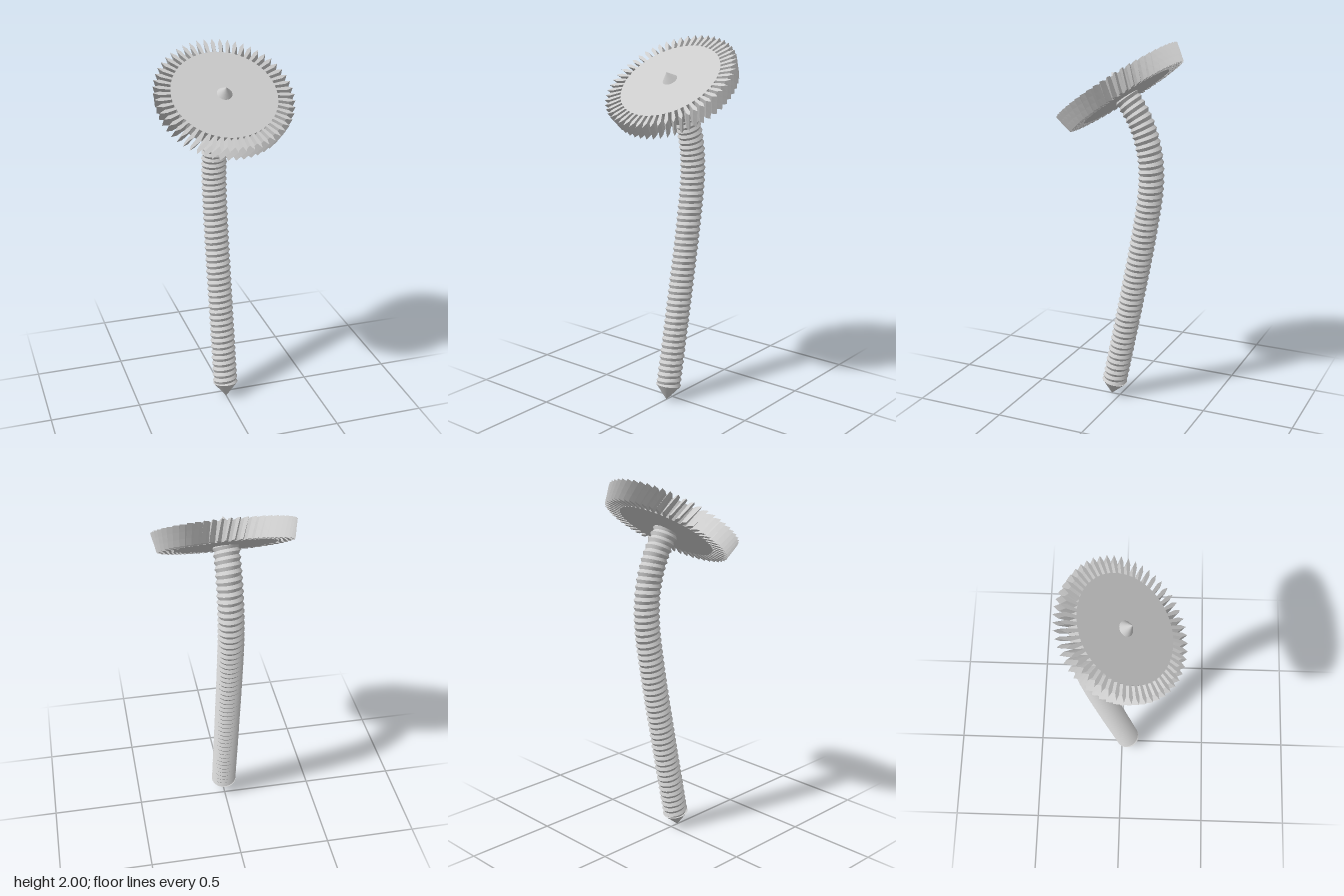
import * as THREE from 'three';
import { toCreasedNormals } from 'three/addons/utils/BufferGeometryUtils.js';

const material = new THREE.MeshStandardMaterial({ color: 0xcccccc });
const flatMaterial = new THREE.MeshStandardMaterial({ color: 0xcccccc, flatShading: true });

const TILT = THREE.MathUtils.degToRad(35);
const CREST = 0.07, ROOT = 0.06, PITCH = 0.034, SIDES = 32;

// Centre line of the bent screw, lying in the x = 0 plane
const path = new THREE.CatmullRomCurve3([
  [0.085, 0.034], [0.35, -0.02], [0.6, -0.07], [1.0, -0.145], [1.25, -0.178],
  [1.42, -0.168], [1.58, -0.117], [1.708, -0.0375], [1.759, -0.002],
].map(([y, z]) => new THREE.Vector3(0, y, z)));
path.arcLengthDivisions = 600;

// Thread: rows alternate crest and root, each rising one pitch per turn
function threadGeometry() {
  const length = path.getLength();
  const rows = 2 * Math.ceil(length / PITCH) + 2;
  const positions = [], index = [];
  const xAxis = new THREE.Vector3(1, 0, 0);
  for (let i = 0; i <= rows; i++) {
    const radius = i % 2 ? ROOT : CREST;
    for (let j = 0; j <= SIDES; j++) {
      const s = THREE.MathUtils.clamp(PITCH * (i / 2 - 1 + j / SIDES) / length, 0, 1);
      const angle = (j / SIDES) * Math.PI * 2;
      const side = xAxis.clone().cross(path.getTangentAt(s));
      const p = path.getPointAt(s)
        .addScaledVector(xAxis, radius * Math.cos(angle))
        .addScaledVector(side, -radius * Math.sin(angle));
      // counter-clockwise as seen from above
      positions.push(p.x, p.y, p.z);
    }
  }
  const w = SIDES + 1;
  for (let i = 0; i < rows; i++) {
    for (let j = 0; j < SIDES; j++) {
      const a = i * w + j, b = a + 1, c = a + w, d = c + 1;
      index.push(a, b, d, a, d, c);
    }
  }
  const geometry = new THREE.BufferGeometry();
  geometry.setAttribute('position', new THREE.Float32BufferAttribute(positions, 3));
  geometry.setIndex(index);
  return toCreasedNormals(geometry, 0.5);
}

// Pointed end whose base sits at a path end and whose tip points outward
function pointedEnd(name, t, sign, height) {
  const geometry = new THREE.ConeGeometry(CREST, height, SIDES).translate(0, height / 2, 0);
  const cone = new THREE.Mesh(toCreasedNormals(geometry, 0.6), material);
  cone.name = name;
  cone.position.copy(path.getPointAt(t));
  cone.quaternion.setFromUnitVectors(
    new THREE.Vector3(0, 1, 0), path.getTangentAt(t).multiplyScalar(sign));
  return cone;
}

// Gear wheel: slim pointed teeth, twisted and slightly tapered through its thickness
function gearGeometry() {
  const teeth = 54, depth = 0.1, points = [];
  const profile = [[0.278, -0.0075], [0.337, -0.011], [0.369, 0], [0.337, 0.011], [0.278, 0.0075]];
  for (let i = 0; i < teeth; i++) {
    const a = (i / teeth) * Math.PI * 2, c = Math.cos(a), s = Math.sin(a);
    for (const [r, w] of profile) points.push(new THREE.Vector2(r * c - w * s, r * s + w * c));
  }
  const geometry = new THREE.ExtrudeGeometry(new THREE.Shape(points),
    { depth, steps: 3, bevelEnabled: false });
  const pos = geometry.attributes.position;
  const v = new THREE.Vector3(), axis = new THREE.Vector3(0, 0, 1);
  for (let i = 0; i < pos.count; i++) {
    v.fromBufferAttribute(pos, i);
    const down = 1 - v.z / depth, scale = 1 - 0.06 * down;
    v.applyAxisAngle(axis, -0.09 * down);
    pos.setXYZ(i, v.x * scale, v.y * scale, v.z);
  }
  geometry.rotateX(-Math.PI / 2);
  geometry.computeVertexNormals();
  return geometry;
}

export function createModel() {
  const model = new THREE.Group();
  model.name = 'bentScrewWithGear';

  const thread = new THREE.Mesh(threadGeometry(), material);
  thread.name = 'threadedStem';
  model.add(thread);

  model.add(pointedEnd('bottomPoint', 0, -1, 0.085));
  model.add(pointedEnd('topPoint', 1, 1, 0.088));

  const gear = new THREE.Mesh(gearGeometry(), flatMaterial);
  gear.name = 'gearWheel';
  gear.position.set(0, 1.7075, -0.0375);
  gear.rotation.x = TILT;
  model.add(gear);

  return model;
}
